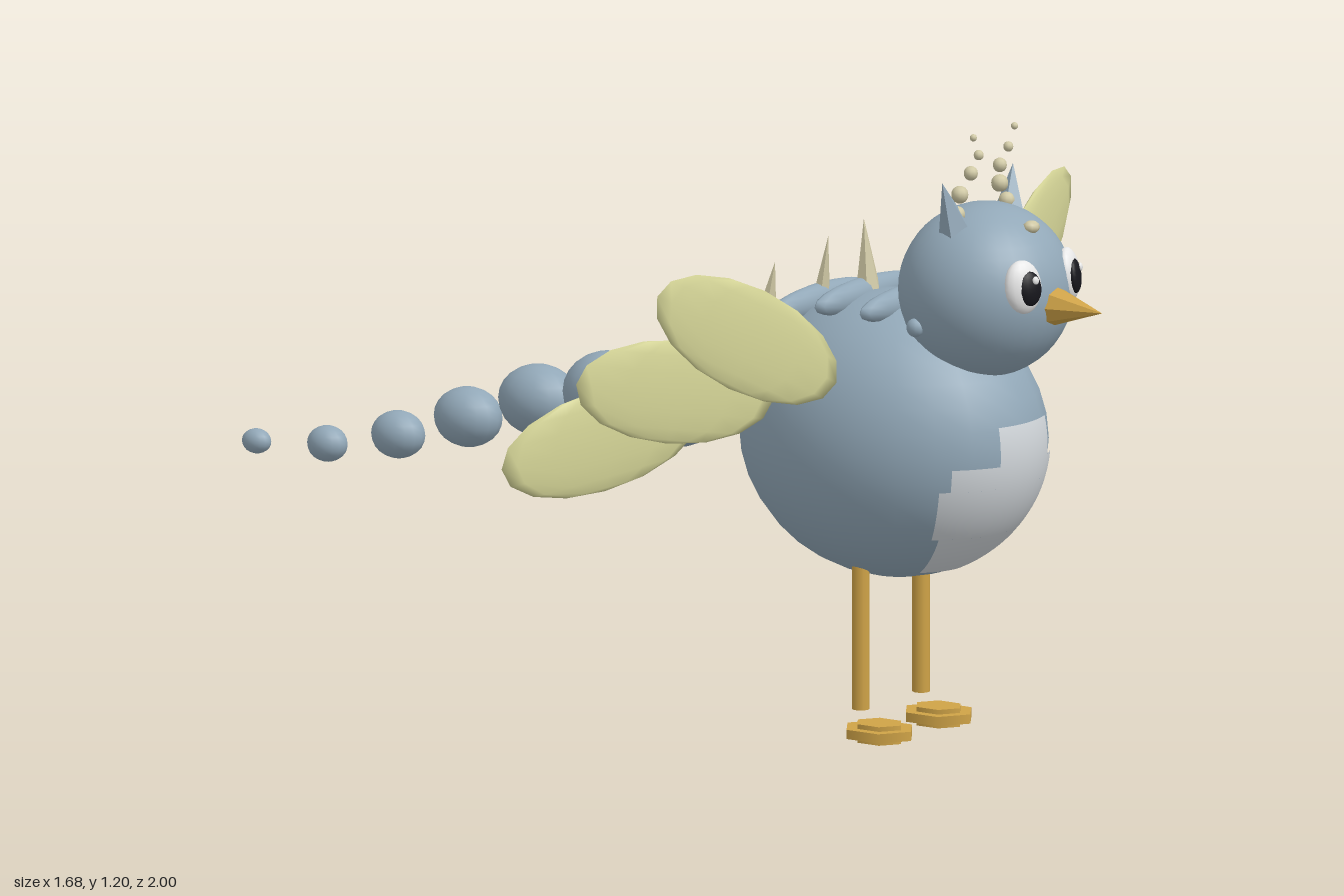
import * as THREE from 'three';

const mat = (name, color, extra = {}) => {
  const m = new THREE.MeshStandardMaterial({ color, ...extra });
  m.name = name;
  return m;
};

export function createModel() {
  const model = new THREE.Group();
  const blue = mat('slate blue', 0x92a8b8);
  const white = mat('belly white', 0xd3d8dc);
  const eyeWhite = mat('eye white', 0xf6f6f6);
  const black = mat('pupil black', 0x16161c);
  const feather = mat('pale feather', 0xd6d698);
  const tailYellow = mat('tail yellow', 0xe2d88a);
  const bone = mat('bone', 0xcfc8a4);
  const gold = mat('gold', 0xcfa347);

  const add = (name, geo, material, pos = [0, 0, 0]) => {
    const m = new THREE.Mesh(geo, material);
    m.name = name;
    m.position.set(...pos);
    model.add(m);
    return m;
  };
  const ball = (name, material, pos, r, ws = 16, hs = 12) => {
    const m = add(name, new THREE.SphereGeometry(1, ws, hs), material, pos);
    m.scale.set(...r);
    return m;
  };
  // Cone pointing from a base point to a tip point
  const spike = (name, material, base, tip, r, sides) => {
    const a = new THREE.Vector3(...base), b = new THREE.Vector3(...tip);
    const d = b.clone().sub(a);
    const geo = new THREE.ConeGeometry(r, d.length(), sides).toNonIndexed();
    geo.computeVertexNormals();
    const m = add(name, geo, material);
    m.position.copy(a).lerp(b, 0.5);
    m.quaternion.setFromUnitVectors(new THREE.Vector3(0, 1, 0), d.normalize());
    return m;
  };

  // Body and head
  const bodyPos = [0, 0.583, 0.515], bodyR = [0.25, 0.277, 0.315];
  ball('body', blue, bodyPos, bodyR, 24, 18);
  ball('head', blue, [0, 0.888, 0.73], [0.168, 0.168, 0.168], 32, 24);

  // Belly patch: sections of a shell just over the body
  for (const [halfPhi, t0, t1] of [[0.31, 1.37, 1.64], [0.68, 1.64, 1.8], [0.76, 1.8, 2.2], [0.7, 2.2, 2.66]]) {
    const geo = new THREE.SphereGeometry(1.012, 14, 8, Math.PI / 2 - halfPhi, halfPhi * 2, t0, t1 - t0);
    add('bellyPatch', geo, white, bodyPos).scale.set(...bodyR);
  }

  // Beak and forehead gem
  spike('beak', gold, [0, 0.874, 0.885], [0, 0.872, 1.0], 0.04, 8);
  ball('foreheadGem', bone, [0, 1.02, 0.835], [0.018, 0.013, 0.016], 8, 6);

  for (const s of [1, -1]) {
    // Eye: white disc, pupil and glint, turned outwards
    const eye = new THREE.Group();
    eye.name = 'eye';
    eye.position.set(s * 0.075, 0.92, 0.868);
    eye.rotation.set(-0.12, s * 0.38, 0);
    model.add(eye);
    const discs = [
      ['eyeWhite', eyeWhite, [0, 0, 0], [0.04, 0.052, 0.022]],
      ['pupil', black, [-s * 0.006, -0.003, 0.014], [0.026, 0.034, 0.012]],
      ['glint', eyeWhite, [-s * 0.006 + 0.009, 0.012, 0.025], [0.007, 0.008, 0.004]],
    ];
    for (const [n, m, p, r] of discs) eye.add(ball(n, m, p, r));

    // Ear, cheek knob and curling bubble antenna
    spike('ear', blue, [s * 0.082, 0.99, 0.725], [s * 0.117, 1.11, 0.71], 0.042, 5);
    ball('cheekKnob', blue, [s * 0.15, 0.83, 0.67], [0.016, 0.018, 0.018], 10, 8);
    const beads = [
      [0.082, 1.045, 0.72, 0.016], [0.066, 1.08, 0.715, 0.017], [0.048, 1.12, 0.728, 0.014],
      [0.049, 1.158, 0.747, 0.01], [0.068, 1.195, 0.748, 0.007],
    ];
    for (const [x, y, z, r] of beads) ball('antennaBead', bone, [s * x, y, z], [r, r, r], 10, 8);

    // Wing of three fanned feathers
    const wing = [[0.465, 0.84, 0.5, 27], [0.53, 0.735, 0.378, 11], [0.597, 0.637, 0.255, -5]];
    for (const [x, y, z, tilt] of wing) {
      const f = ball('wingFeather', feather, [s * x, y, z], [0.253, 0.1, 0.014], 12, 8);
      f.rotation.set(0, s * 0.245, s * THREE.MathUtils.degToRad(tilt), 'YXZ');
    }

    // Leg and stepped foot
    add('leg', new THREE.CylinderGeometry(0.017, 0.017, 0.32, 10), gold, [s * 0.1, 0.22, 0.508]);
    for (const [rx, rz, h] of [[0.056, 0.074, 0.018], [0.037, 0.05, 0.036]]) {
      const geo = new THREE.CylinderGeometry(1, 1, h, 6);
      add('foot', geo, gold, [s * 0.098, 0.02, 0.55]).scale.set(rx / 0.866, 1, rz);
    }
  }

  // Back ridges
  for (const [y, z] of [[0.845, 0.555], [0.845, 0.45], [0.82, 0.345]])
    ball('backRidge', blue, [0, y, z], [0.17, 0.033, 0.026], 14, 10);

  // Back spikes
  spike('backSpike', bone, [0, 0.85, 0.56], [0, 0.94, 0.57], 0.014, 6);
  spike('backSpike', bone, [0, 0.85, 0.455], [0, 0.99, 0.445], 0.026, 6);
  spike('backSpike', bone, [0, 0.82, 0.345], [0, 0.945, 0.362], 0.019, 6);
  spike('backSpike', bone, [0, 0.75, 0.213], [0, 0.88, 0.238], 0.026, 6);

  // Tail feathers
  for (const i of [-1, 0, 1]) {
    const f = ball('tailFeather', tailYellow, [i * 0.065, 0.635, 0.165], [0.045, 0.016, 0.14], 10, 8);
    f.rotation.set(-0.5, i * 0.13, 0, 'YXZ');
  }

  // Tail beads: y, z, cross radius, length radius
  const tail = [
    [0.588, 0.01, 0.094, 0.103], [0.577, -0.15, 0.082, 0.092], [0.545, -0.312, 0.069, 0.083],
    [0.492, -0.477, 0.058, 0.07], [0.438, -0.64, 0.046, 0.055], [0.4, -0.805, 0.035, 0.041],
    [0.385, -0.97, 0.024, 0.03],
  ];
  for (const [y, z, r, l] of tail) ball('tailBead', blue, [0, y, z], [r, r, l], 16, 12);

  return model;
}
